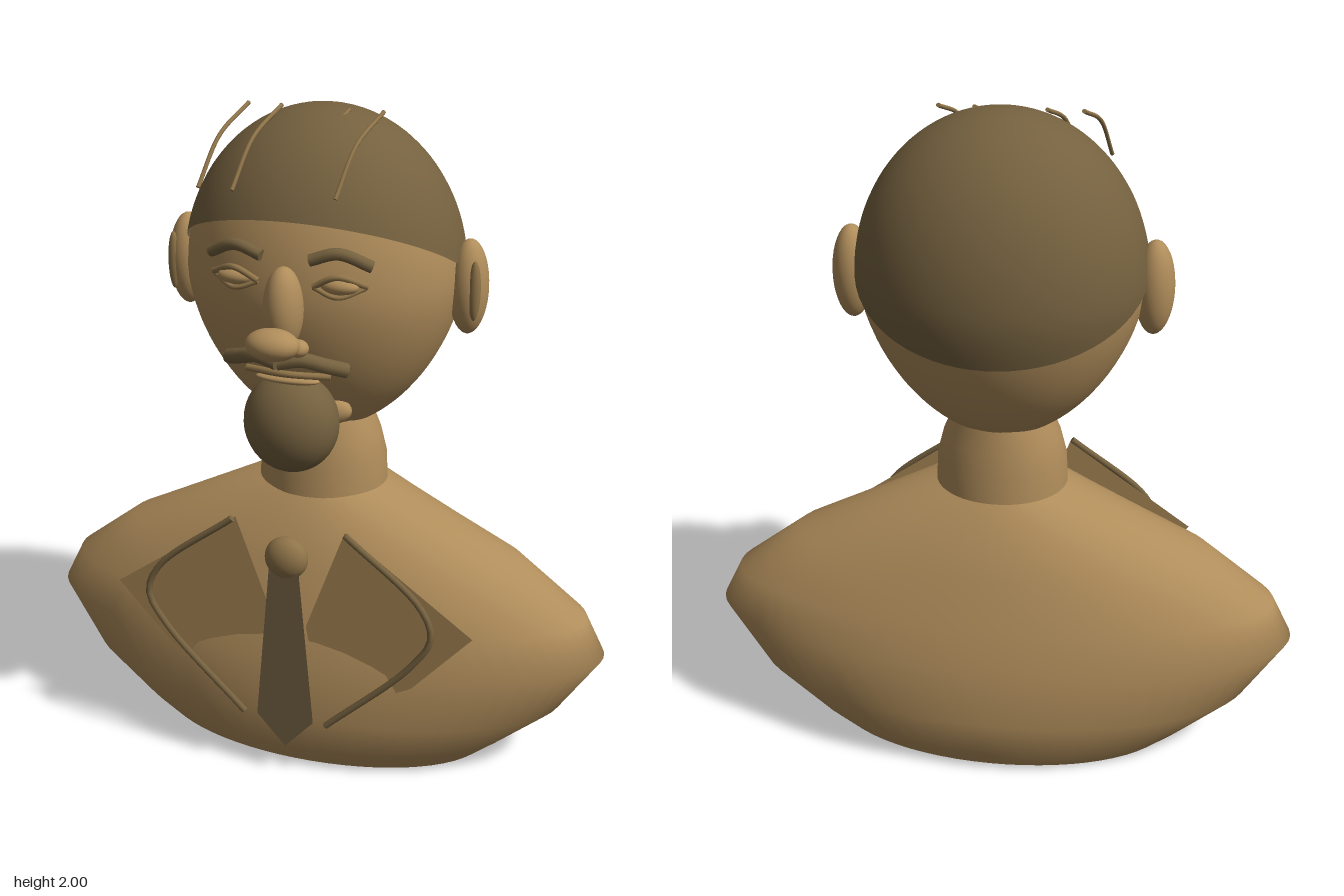
import * as THREE from 'three';

const mat = (name, color) => {
  const m = new THREE.MeshStandardMaterial({ color, side: THREE.DoubleSide });
  m.name = name;
  return m;
};

// Closed skin over rows of points; point(i, angle) gives [x, y, z], angle 0 faces front
function loft(rows, point, segs = 64) {
  const pos = [], idx = [];
  for (let i = 0; i < rows; i++)
    for (let j = 0; j < segs; j++) pos.push(...point(i, (j / segs) * Math.PI * 2));
  for (let i = 0; i < rows - 1; i++)
    for (let j = 0; j < segs; j++) {
      const k = (j + 1) % segs, a = i * segs + j, b = i * segs + k;
      idx.push(a, b, a + segs, b, b + segs, a + segs);
    }
  const g = new THREE.BufferGeometry();
  g.setAttribute('position', new THREE.Float32BufferAttribute(pos, 3));
  g.setIndex(idx);
  g.computeVertexNormals();
  return g;
}

// Elliptical rings [y, rx, rz] around a vertical axis at depth cz
const ringLoft = (rings, cz) => loft(rings.length, (i, a) => {
  const [y, rx, rz] = rings[i];
  return [rx * Math.sin(a), y, cz + rz * Math.cos(a)];
});

// Egg-shaped skull: half width at a height
const HEAD_Z = -0.07, HEAD_MID = 1.52, HEAD_W = 0.41, DEPTH = 0.84;
function skull(y) {
  const t = (y - HEAD_MID) / (y > HEAD_MID ? 0.48 : 0.47);
  return t > 0
    ? HEAD_W * Math.sqrt(Math.max(0, 1 - t * t))
    : HEAD_W * Math.pow(1 - 0.93 * Math.pow(-t, 1.65), 0.55);
}

export function createModel() {
  const group = new THREE.Group();
  const skin = mat('bronze', 0xb08d5b);
  const cloth = mat('lapel bronze', 0xa58555);
  const dark = mat('dark bronze', 0x75613f);
  const tieMat = mat('tie bronze', 0x705c3f);
  const mid = mat('mid bronze', 0x8f7449);

  const add = (name, geo, material) => {
    const m = new THREE.Mesh(geo, material);
    m.name = name;
    group.add(m);
    return m;
  };
  const blob = (name, material, p, r) => {
    const m = add(name, new THREE.SphereGeometry(1, 32, 20), material);
    m.position.set(...p);
    m.scale.set(...r);
  };
  // Tube through points, closed with flat discs
  const cord = (name, material, pts, r) => {
    const curve = new THREE.CatmullRomCurve3(pts.map(p => new THREE.Vector3(...p)));
    add(name, new THREE.TubeGeometry(curve, 28, r, 10), material);
    for (const t of [0, 1]) {
      const cap = add(name + 'End', new THREE.CircleGeometry(r, 10), material);
      const dir = curve.getTangent(t).multiplyScalar(t ? 1 : -1);
      cap.position.copy(curve.getPoint(t));
      cap.quaternion.setFromUnitVectors(new THREE.Vector3(0, 0, 1), dir);
    }
  };
  const sheet = (name, material, pts, z) => {
    const s = new THREE.Shape(pts.map(p => new THREE.Vector2(...p)));
    add(name, new THREE.ShapeGeometry(s), material).position.z = z;
  };

  // Shoulders, open underneath, and neck
  add('bust', ringLoft([
    [0, 0.54, 0.28], [0.07, 0.622, 0.325], [0.2, 0.775, 0.358], [0.38, 0.895, 0.335],
    [0.5, 0.835, 0.303], [0.65, 0.64, 0.26], [0.865, 0.2, 0.176], [0.866, 0, 0],
  ], -0.065), skin);
  add('neck', ringLoft([
    [0.86, 0.197, 0.176], [0.95, 0.193, 0.171], [1.02, 0.175, 0.163], [1.09, 0.145, 0.152],
  ], -0.062), skin);

  // Head
  const N = 40;
  add('head', loft(N + 2, (i, a) => {
    if (i === 0) return [0, 1.064, HEAD_Z];
    const k = (i - 1) / N;
    const y = 1.525 - 0.46 * Math.cos(k * Math.PI);
    const r = i === N + 1 ? 0 : skull(y);
    return [r * Math.sin(a), y, HEAD_Z + DEPTH * r * Math.cos(a)];
  }), skin);

  // Hair cap, cut along a plane that slopes down to the back
  const shell = (y, a) => {
    const r = skull(y) * 1.02;
    return [r * Math.sin(a), y, HEAD_Z + (DEPTH + 0.005) * r * Math.cos(a)];
  };
  const ROWS = 28;
  add('hairCap', loft(ROWS + 1, (i, a) => {
    let y = 1.55;
    for (let n = 0; n < 20; n++) y = 1.597 + 0.575 * shell(y, a)[2];
    const top = 2.0;
    return shell(y + (top - y) * Math.sin((i / ROWS) * Math.PI / 2), a);
  }), dark);

  // Loose strands combed back over the crown
  for (const x of [-0.28, -0.18, -0.08, 0.02, 0.12])
    cord('hairStrand', mid, [[x, 1.8, 0.2], [x + 0.025, 1.925, 0.1], [x + 0.06, 1.993, -0.04]], 0.006);

  // Nose, mouth, chin and beard
  blob('noseBridge', skin, [0, 1.505, 0.285], [0.056, 0.12, 0.065]);
  blob('noseTip', skin, [0, 1.43, 0.373], [0.077, 0.045, 0.055]);
  cord('upperLip', mid, [[-0.125, 1.305, 0.245], [0, 1.312, 0.28], [0.125, 1.305, 0.245]], 0.01);
  blob('lowerLip', skin, [0, 1.29, 0.255], [0.095, 0.014, 0.03]);
  blob('chin', skin, [0, 1.16, 0.13], [0.15, 0.06, 0.05]);
  blob('beard', dark, [0, 1.148, 0.226], [0.14, 0.15, 0.116]);

  for (const s of [-1, 1]) {
    const side = s > 0 ? 'left' : 'right';
    const mir = pts => pts.map(([x, y, z]) => [s * x, y, z]);

    // Face details
    blob(side + 'Nostril', skin, [s * 0.055, 1.41, 0.325], [0.032, 0.025, 0.03]);
    cord(side + 'Moustache', dark,
      mir([[0, 1.365, 0.335], [0.065, 1.375, 0.32], [0.125, 1.355, 0.29], [0.175, 1.335, 0.255]]), 0.022);
    blob(side + 'Eye', skin, [s * 0.15, 1.575, 0.25], [0.055, 0.024, 0.03]);
    cord(side + 'UpperLid', mid, mir([[0.225, 1.575, 0.232], [0.15, 1.605, 0.27], [0.08, 1.572, 0.268]]), 0.009);
    cord(side + 'LowerLid', mid, mir([[0.22, 1.57, 0.232], [0.15, 1.547, 0.27], [0.08, 1.57, 0.268]]), 0.007);
    cord(side + 'Brow', dark, mir([[0.235, 1.63, 0.225], [0.15, 1.667, 0.258], [0.07, 1.645, 0.268]]), 0.017);

    // Ears
    blob(side + 'Ear', skin, [s * 0.432, 1.507, -0.07], [0.057, 0.14, 0.065]);
    blob(side + 'InnerEar', mid, [s * 0.46, 1.51, -0.022], [0.018, 0.088, 0.016]);

    // Flat lapel panel and its piping
    sheet(side + 'Lapel', cloth,
      [[0.17, 0.83], [0.56, 0.55], [0.38, 0.35], [0.1, 0.2], [0.05, 0.5]].map(([x, y]) => [s * x, y]), 0.25);
    cord(side + 'LapelPiping', dark,
      mir([[0.175, 0.83, 0.265], [0.41, 0.64, 0.278], [0.445, 0.55, 0.284], [0.385, 0.445, 0.29], [0.13, 0.2, 0.303]]), 0.01);
  }

  // Tie
  blob('tieKnot', mid, [0, 0.735, 0.277], [0.066, 0.066, 0.044]);
  sheet('tieBlade', tieMat, [[-0.045, 0.72], [-0.09, 0.2], [0, 0.1], [0.09, 0.2], [0.045, 0.72]], 0.302);

  return group;
}
